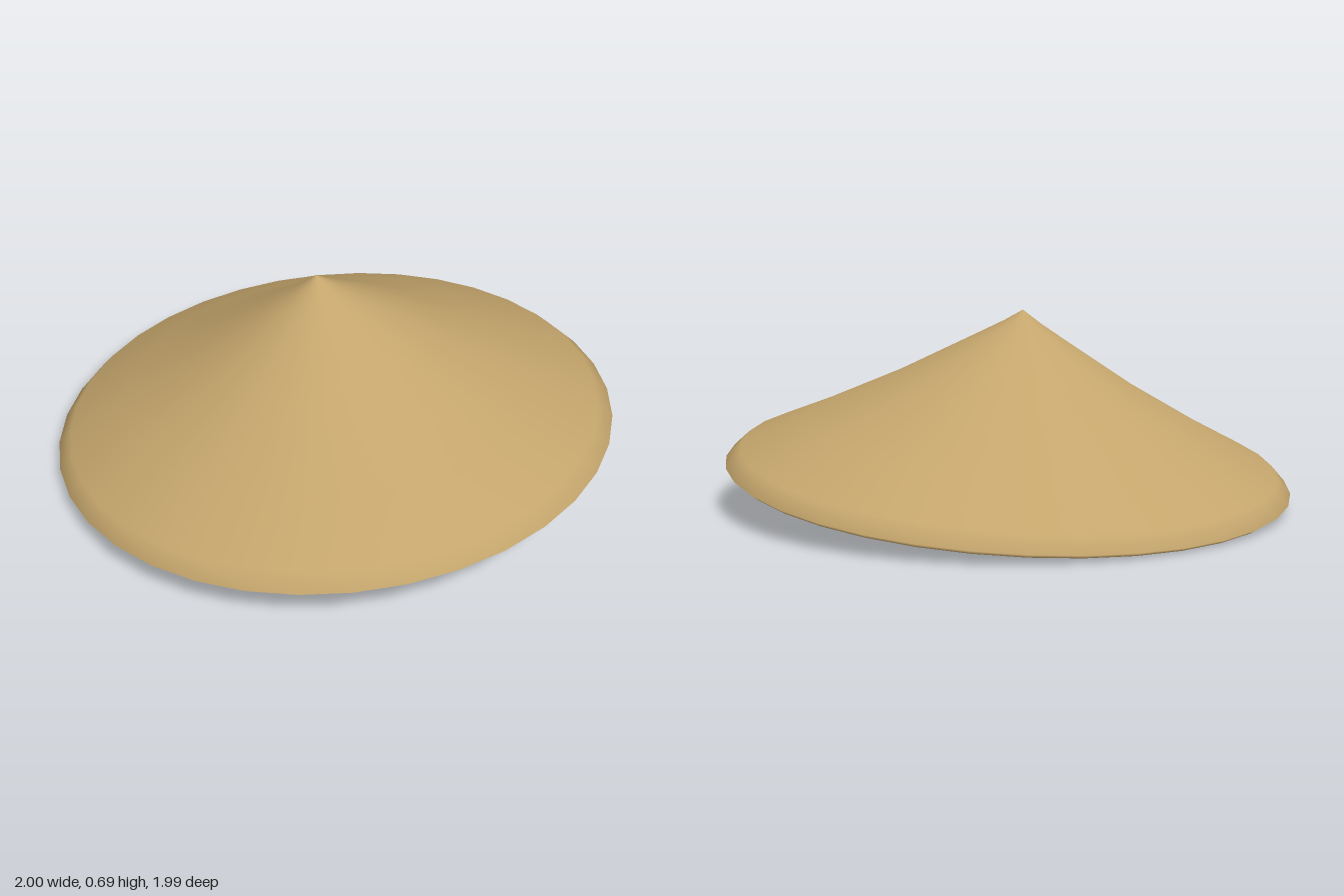
import * as THREE from 'three';

const SIDES = 36;
const TILT = -0.1; // front of the brim is raised

export function createModel() {
  const model = new THREE.Group();
  model.name = 'conicalHat';

  const straw = new THREE.MeshStandardMaterial({ color: 0xc4a56c });
  straw.name = 'straw';
  const bandStraw = new THREE.MeshStandardMaterial({ color: 0xc4a56c, side: THREE.DoubleSide });
  bandStraw.name = 'band straw';

  // Thin shell: hollow underside, turned-in lip, then the slightly concave cone
  const profile = [
    [0, 0.55], [0.14, 0.465], [0.42, 0.297], [0.725, 0.137], [0.925, 0.04],
    [0.94, 0.005], [0.955, -0.018], [0.985, -0.01],
    [1.003, 0.004], [0.953, 0.056], [0.735, 0.16], [0.43, 0.32],
    [0.15, 0.488], [0.065, 0.54], [0, 0.585],
  ].map(([r, y]) => new THREE.Vector2(r, y));
  const shellGeometry = new THREE.LatheGeometry(profile, SIDES);
  shellGeometry.rotateY(Math.PI / SIDES);

  // Lean the peak back a little and lift the lip at the front centre
  const p = shellGeometry.attributes.position;
  for (let i = 0; i < p.count; i++) {
    const x = p.getX(i), y = p.getY(i), z = p.getZ(i);
    if (y > 0.05) p.setZ(i, z - 0.07 * y * y);
    else if (z > 0.8 && y < 0) p.setY(i, y + 0.018 * Math.max(0, 1 - Math.abs(x) / 0.4));
  }
  const shell = new THREE.Mesh(shellGeometry, straw);
  shell.name = 'shell';
  shell.position.y = 0.112;
  shell.rotation.x = TILT;
  model.add(shell);

  // Head band inside the cone, tipped the other way so its front hangs lower
  const bandGeometry = new THREE.CylinderGeometry(0.4, 0.4, 0.125, SIDES, 1, true);
  const band = new THREE.Mesh(bandGeometry, bandStraw);
  band.name = 'headBand';
  band.position.set(0, 0.28, -0.025);
  band.rotation.x = 0.12;
  model.add(band);

  return model;
}
